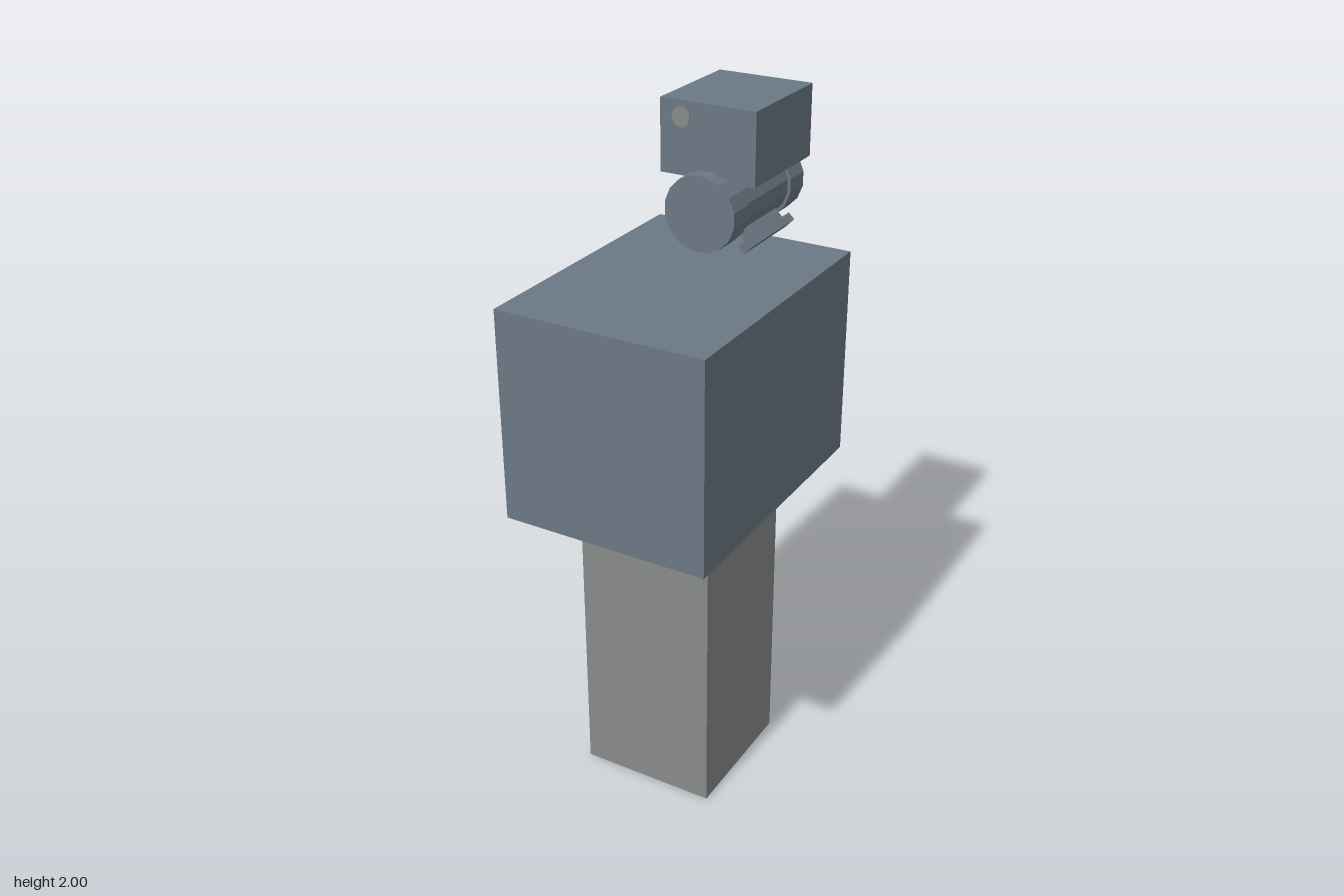
import * as THREE from 'three';

export function createModel() {
  const slate = new THREE.MeshStandardMaterial({ color: 0x6b7885, flatShading: true });
  slate.name = 'slate blue';
  const grey = new THREE.MeshStandardMaterial({ color: 0x888b8a, flatShading: true });
  grey.name = 'stone grey';

  const model = new THREE.Group();
  model.name = 'model';

  const add = (name, geometry, material, x, y, z, parent = model) => {
    const mesh = new THREE.Mesh(geometry, material);
    mesh.name = name;
    mesh.position.set(x, y, z);
    parent.add(mesh);
    return mesh;
  };

  // cylinder lying along z
  const barrelGeometry = (radius, length, sides = 16) =>
    new THREE.CylinderGeometry(radius, radius, length, sides)
      .rotateY(Math.PI / sides)
      .rotateX(Math.PI / 2);

  // post and main block
  add('post', new THREE.BoxGeometry(0.415, 0.94, 0.415), grey, 0, 0.47, 0.052);
  add('mainBlock', new THREE.BoxGeometry(0.622, 0.622, 0.832), slate, 0, 1.25, 0.051);

  // barrel: two end caps with a slimmer core
  const barrel = new THREE.Group();
  barrel.name = 'barrel';
  barrel.position.set(0, 1.71, -0.26);
  model.add(barrel);
  add('barrelCore', barrelGeometry(0.1, 0.26), slate, 0, 0, 0, barrel);
  for (const s of [1, -1]) {
    add('barrelCap', barrelGeometry(0.109, 0.082), slate, 0, 0, s * 0.167, barrel);
  }

  // four diagonal fins, each an arm with a wider tip
  for (let i = 0; i < 4; i++) {
    const fin = new THREE.Group();
    fin.name = 'fin';
    fin.rotation.z = Math.PI / 4 + (i * Math.PI) / 2;
    barrel.add(fin);
    add('finArm', new THREE.BoxGeometry(0.06, 0.041, 0.165), slate, 0.1, 0, 0, fin);
    add('finTip', new THREE.BoxGeometry(0.025, 0.041, 0.25), slate, 0.141, 0, 0, fin);
  }

  // head box with a round button on its front and back
  add('head', new THREE.BoxGeometry(0.29, 0.205, 0.33), slate, 0, 1.8975, -0.26);
  for (const s of [1, -1]) {
    add('button', barrelGeometry(0.028, 0.008), grey, -s * 0.08, 1.955, -0.26 + s * 0.164);
  }

  return model;
}
